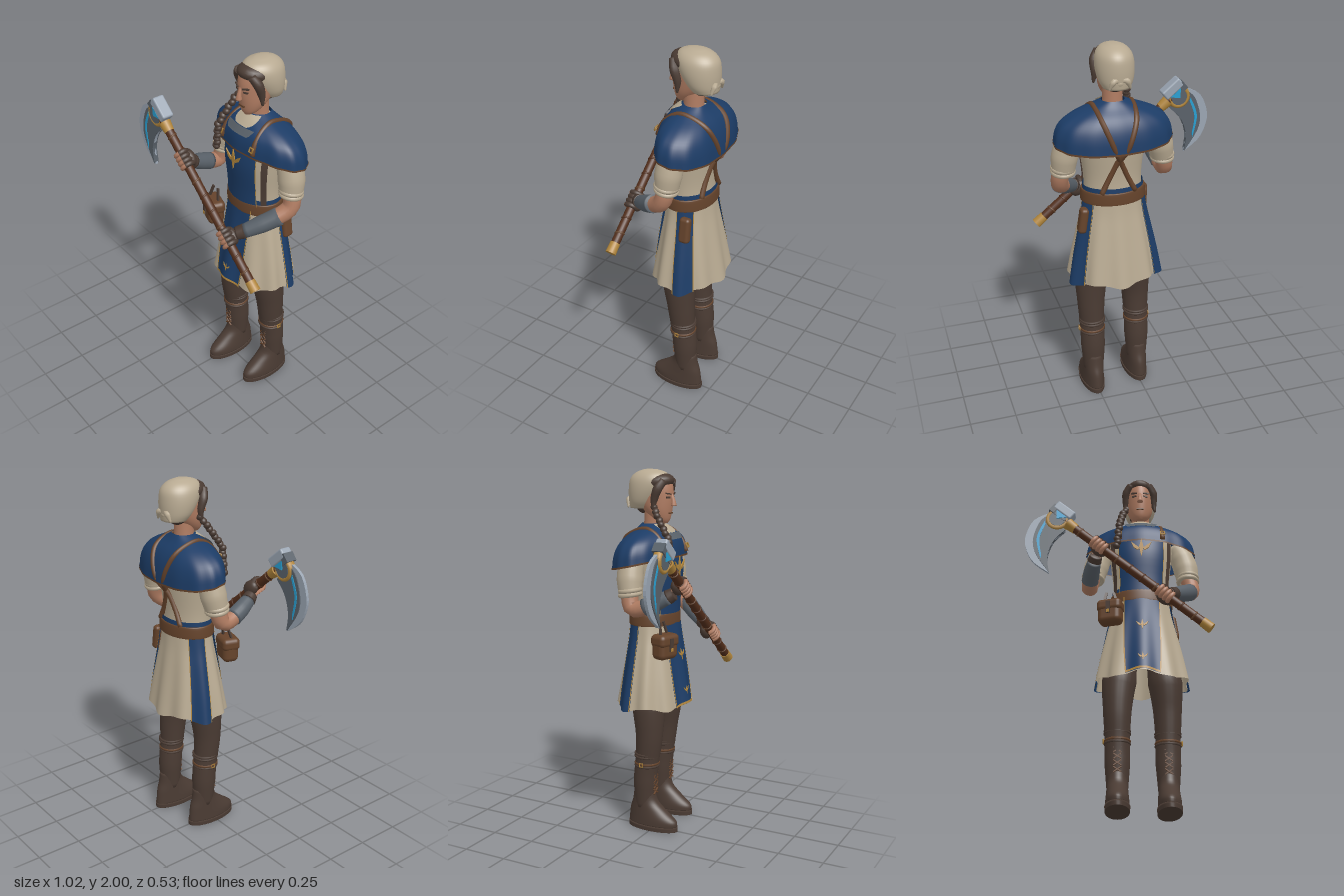
import * as THREE from 'three';
import { RoundedBoxGeometry } from 'three/addons/geometries/RoundedBoxGeometry.js';

const mat = (name, color) => new THREE.MeshStandardMaterial({ name, color, side: THREE.DoubleSide });
const M = {
  cream: mat('creamCloth', 0xb8aa92), blue: mat('blueCloth', 0x1c3c66), leather: mat('leather', 0x65432b),
  dark: mat('darkLeatherAndHair', 0x4a3b33), skin: mat('skin', 0xb07c62), wood: mat('wood', 0x522e1b),
  steel: mat('steel', 0x596169), pale: mat('paleSteel', 0x9aa5b2), gold: mat('gold', 0xb0853c), glow: mat('glowBlue', 0x2a9fd0),
};
const V = (p) => new THREE.Vector3(p[0], p[1], p[2]);
const lerp = THREE.MathUtils.lerp, TAU = Math.PI * 2, CX = 0.128;

// Skin a grid of points, rows running upward or along the limb
function skinRows(rows, closed) {
  const w = rows[0].length, pos = rows.flat().flatMap((p) => [p.x, p.y, p.z]), idx = [];
  for (let i = 0; i < rows.length - 1; i++) {
    for (let j = 0; j < (closed ? w : w - 1); j++) {
      const k = (j + 1) % w, a = i * w + j, b = i * w + k;
      idx.push(a, b, a + w, b, b + w, a + w);
    }
  }
  const g = new THREE.BufferGeometry();
  g.setAttribute('position', new THREE.Float32BufferAttribute(pos, 3));
  g.setIndex(idx);
  g.computeVertexNormals();
  return g;
}

// Horizontal oval sections [y, cx, cz, rx, rz]; angle 0 faces the front
function loft(rings, { n = 48, a = null, off = 0, rule = null, cap = false } = {}) {
  const c = new THREE.CatmullRomCurve3(rings.map((r) => V([r[1], r[0], r[2]])), false, 'catmullrom');
  const s = new THREE.CatmullRomCurve3(rings.map((r) => V([r[3], 0, r[4]])), false, 'catmullrom');
  const m = (rings.length - 1) * 4, rows = [];
  for (let i = 0; i <= m; i++) {
    const t = i / m, o = c.getPoint(t), r = s.getPoint(t), row = [];
    const a0 = a ? lerp(a[0][0], a[1][0], t) : 0, a1 = a ? lerp(a[0][1], a[1][1], t) : TAU;
    for (let j = 0; j < n + (a ? 1 : 0); j++) {
      const q = lerp(a0, a1, j / n), k = rule ? rule(q, t) : {};
      const f = k.scale ?? 1;
      row.push(new THREE.Vector3(o.x + (r.x * f + off) * Math.sin(q), o.y + (k.lift ?? 0), o.z + (r.z * f + off) * Math.cos(q)));
    }
    rows.push(row);
    if (cap && (i === 0 || i === m)) rows[i ? 'push' : 'unshift'](row.map(() => o.clone()));
  }
  return skinRows(rows, !a);
}

// Round limb through points [x, y, z, radius]
function limb(pts, n = 16) {
  const curve = new THREE.CatmullRomCurve3(pts.map(V)), m = (pts.length - 1) * 5;
  const f = curve.computeFrenetFrames(m), rows = [];
  for (let i = 0; i <= m; i++) {
    const u = (i / m) * (pts.length - 1), k = Math.min(Math.floor(u), pts.length - 2);
    const r = lerp(pts[k][3], pts[k + 1][3], u - k), o = curve.getPointAt(i / m);
    const ring = (q) => Array.from({ length: n }, (_, j) => o.clone()
      .addScaledVector(f.normals[i], q * Math.cos(j / n * TAU)).addScaledVector(f.binormals[i], q * Math.sin(j / n * TAU)));
    if (i === 0) rows.push(ring(0));
    rows.push(ring(r));
    if (i === m) rows.push(ring(0));
  }
  return skinRows(rows, true);
}

// Flat plate cut from an outline, and a smooth bow for curved outlines
const vec2 = (pts) => pts.map((p) => new THREE.Vector2(p[0], p[1]));
const bow = (pts) => new THREE.SplineCurve(vec2(pts)).getPoints(16).map((p) => [p.x, p.y]);
const plate = (pts, depth) => new THREE.ExtrudeGeometry(new THREE.Shape(vec2(pts)), { depth, bevelEnabled: false }).translate(0, 0, -depth / 2);

export function createModel() {
  const root = new THREE.Group();
  root.name = 'axeWarrior';
  const add = (name, g, m, p = [0, 0, 0], r = [0, 0, 0], s = [1, 1, 1], parent = root) => {
    const o = new THREE.Mesh(g, m);
    o.name = name;
    o.position.set(...p); o.rotation.set(...r); o.scale.set(...s);
    parent.add(o);
  };
  const box = (x, y, z) => new THREE.BoxGeometry(x, y, z);
  const ball = new THREE.SphereGeometry(1, 24, 16);

  // Legs and boots
  for (const s of [1, -1]) {
    const side = s > 0 ? 'left' : 'right', x = CX + s * 0.134, dz = s > 0 ? 0 : 0.042;
    add(side + 'Leg', limb([[x - s * 0.03, 0.86, -0.055, 0.08], [x - s * 0.008, 0.7, -0.058 + dz * 0.5, 0.093], [x, 0.55, -0.072 + dz, 0.077],
      [x, 0.42, -0.082 + dz, 0.067], [x, 0.3, -0.095 + dz, 0.067], [x, 0.12, -0.1 + dz, 0.055]], 24), M.dark);
    add(side + 'Boot', loft([[0.025, x, -0.048 + dz, 0.062, 0.15], [0.06, x, -0.05 + dz, 0.061, 0.145], [0.11, x, -0.078 + dz, 0.057, 0.11],
      [0.16, x, -0.097 + dz, 0.055, 0.075], [0.22, x, -0.1 + dz, 0.055, 0.062]], { cap: true }), M.dark);
    add(side + 'Sole', loft([[0, x, -0.048 + dz, 0.064, 0.153], [0.028, x, -0.048 + dz, 0.066, 0.153]], { cap: true }), M.dark);
    for (const [y, r, m] of [[0.44, 0.066, M.dark], [0.425, 0.066, M.dark], [0.385, 0.065, M.leather], [0.37, 0.065, M.dark]])
      add(side + 'BootStrap', new THREE.TorusGeometry(r, 0.007, 6, 32), m, [x, y, -0.086 + dz], [Math.PI / 2, 0, 0]);
    add(side + 'BootBuckle', new THREE.TorusGeometry(0.014, 0.004, 4, 4), M.gold, [x + s * 0.073, 0.385, -0.085 + dz], [0, Math.PI / 2, Math.PI / 4]);
    for (let i = 0; i < 4; i++) for (const k of [1, -1])
      add(side + 'Lace', box(0.05, 0.006, 0.008), M.leather, [x, 0.22 + i * 0.035, -0.031 + dz], [0, 0, k * 0.6]);
  }

  // Pleated skirt with its hanging panels
  const skirt = [[0.71, CX, -0.063, 0.248, 0.19], [0.85, CX, -0.063, 0.224, 0.167], [1.0, CX, -0.063, 0.192, 0.142], [1.1, CX, -0.063, 0.17, 0.126], [1.2, CX, -0.064, 0.155, 0.115]];
  const folds = (q, t) => ({ scale: 1 + 0.045 * (1 - t) * Math.cos(10 * q), lift: 0.012 * (1 - t) * Math.cos(5 * q) });
  add('skirt', loft(skirt, { n: 120, rule: folds }), M.cream);
  const panel = (name, rings, b, t, rule, trim) => {
    add(name, loft(rings, { a: [b, t], off: 0.012, rule }), M.blue);
    for (const k of [0, 1]) {
      const e = (v) => (k ? [v[1] - trim, v[1]] : [v[0], v[0] + trim]);
      add(name + 'Trim', loft(rings, { n: 4, a: [e(b), e(t)], off: 0.015, rule }), M.gold);
    }
  };
  panel('frontPanel', skirt, [-0.38, 0.38], [-0.62, 0.62], folds, 0.026);
  add('frontPanelHem', loft([[0.712, CX, -0.063, 0.248, 0.19], [0.725, CX, -0.063, 0.246, 0.188]], { a: [[-0.38, 0.38], [-0.38, 0.38]], off: 0.015, rule: (q) => folds(q, 0) }), M.gold);
  panel('leftHipPanel', skirt, [1.7, 2.25], [1.65, 2.3], folds, 0.025);
  panel('rightHipPanel', skirt, [-2.25, -1.7], [-2.3, -1.65], folds, 0.025);

  // Torso, tabard and side straps
  const torso = [[1.18, CX, -0.064, 0.155, 0.115], [1.3, CX, -0.06, 0.155, 0.115], [1.45, CX, -0.06, 0.172, 0.128], [1.57, CX, -0.07, 0.178, 0.122], [1.66, CX, -0.08, 0.11, 0.085]];
  add('tunic', loft(torso, { cap: true }), M.cream);
  panel('tabard', torso.slice(0, 4), [-0.82, 0.82], [-0.72, 0.72], null, 0.024);
  for (const s of [1, -1])
    add('sideStrap', loft(torso.slice(0, 4), { n: 6, a: [[s * 1.08 - 0.11, s * 1.08 + 0.11], [s * 1.0 - 0.11, s * 1.0 + 0.11]], off: 0.012 }), M.dark);
  add('sash', loft([[1.225, CX, -0.064, 0.164, 0.124], [1.255, CX, -0.064, 0.162, 0.122]]), M.blue);
  add('belt', loft([[1.165, CX, -0.065, 0.171, 0.129], [1.17, CX, -0.065, 0.175, 0.132], [1.225, CX, -0.065, 0.172, 0.13], [1.23, CX, -0.065, 0.163, 0.123]]), M.leather);

  // Gold embroidery, simple leaves around a diamond
  const ornament = (y, z, s, tilt) => {
    const g = new THREE.Group();
    g.name = 'embroidery'; g.position.set(CX, y, z); g.rotation.x = tilt; g.scale.setScalar(s);
    add('diamond', plate([[0, 0.05], [0.012, 0], [0, -0.06], [-0.012, 0]], 0.006), M.gold, undefined, undefined, undefined, g);
    for (const k of [1, -1])
      add('leaf', plate([[k * 0.01, -0.006], [k * 0.055, 0.03], [k * 0.04, -0.004], [k * 0.018, -0.02]], 0.006), M.gold, undefined, undefined, undefined, g);
    root.add(g);
  };
  ornament(1.485, 0.085, 1.05, 0);
  ornament(1.0, 0.1, 0.6, -0.2);
  ornament(0.8, 0.132, 0.5, -0.2);

  // Shoulder mantle, collar and gorget
  const mantle = [[1.5, CX, -0.085, 0.313, 0.16], [1.56, CX, -0.085, 0.303, 0.154], [1.61, CX, -0.085, 0.272, 0.14], [1.65, CX, -0.085, 0.208, 0.115], [1.685, CX, -0.08, 0.115, 0.08], [1.71, CX, -0.08, 0.06, 0.056]];
  const drape = (q, t) => ({ lift: 0.035 * Math.cos(q) * (1 - t), scale: 1 - 0.06 * Math.cos(q) * Math.sin(2 * q) ** 2 + 0.01 * (1 - t) * Math.cos(14 * q) });
  add('mantle', loft(mantle, { n: 96, rule: drape }), M.blue);
  add('mantleTrim', loft([[1.496, CX, -0.085, 0.315, 0.162], [1.506, CX, -0.085, 0.315, 0.162]], { n: 96, rule: (q) => drape(q, 0) }), M.leather);
  add('shirtCollar', loft(mantle.slice(3), { a: [[-0.2, 0.2], [-1.0, 1.0]], off: 0.012, rule: (q, t) => drape(q, 0.6 + 0.4 * t) }), M.cream);
  add('gorget', loft(mantle.slice(2, 4), { a: [[-0.2, 0.2], [-0.45, 0.45]], off: 0.016, rule: (q, t) => drape(q, 0.4 + 0.2 * t) }), M.steel);

  // Harness over the shoulders, crossing on the back
  for (const s of [1, -1]) {
    const at = (list) => limb(list.map(([x, y, z]) => [CX + s * x, y, z, 0.014]), 8);
    add('harnessStrap', at([[0.122, 1.55, 0.062], [0.118, 1.605, 0.042], [0.112, 1.655, 0.0], [0.105, 1.684, -0.06], [0.1, 1.672, -0.13], [0.088, 1.63, -0.2],
      [0.06, 1.555, -0.233], [0.028, 1.475, -0.232], [-0.01, 1.4, -0.189], [-0.05, 1.31, -0.172], [-0.09, 1.23, -0.172]]), M.leather);
    add('harnessBuckle', new THREE.TorusGeometry(0.016, 0.005, 4, 4), M.gold, [CX + s * 0.122, 1.585, 0.07], [-0.4, 0, Math.PI / 4]);
  }

  // Pouches
  add('pouch', new RoundedBoxGeometry(0.13, 0.13, 0.09, 3, 0.03), M.leather, [-0.043, 1.067, 0.085], [0, -0.3, 0]);
  add('pouchFlap', new RoundedBoxGeometry(0.138, 0.07, 0.1, 3, 0.025), M.leather, [-0.043, 1.105, 0.086], [0, -0.3, 0]);
  add('pouchTab', box(0.024, 0.07, 0.008), M.dark, [-0.058, 1.085, 0.134], [0, -0.3, 0]);
  add('pouchClasp', box(0.016, 0.018, 0.008), M.gold, [-0.059, 1.06, 0.137], [0, -0.3, 0]);
  for (const k of [1, -1]) add('pouchLoop', box(0.014, 0.09, 0.01), M.dark, [-0.045 + k * 0.03, 1.16, 0.075], [-0.2, 0, k * 0.25]);
  add('hipPouch', new RoundedBoxGeometry(0.045, 0.14, 0.06, 3, 0.018), M.leather, [0.31, 1.075, -0.128], [0, 0, 0.15]);

  // Arms
  const arms = {
    left: { sleeve: [[0.325, 1.57, -0.085, 0.05], [0.36, 1.51, -0.085, 0.068], [0.385, 1.43, -0.082, 0.07], [0.395, 1.345, -0.075, 0.06]],
      arm: [[0.398, 1.37, -0.078, 0.047], [0.413, 1.28, -0.06, 0.044], [0.365, 1.21, 0.045, 0.04], [0.275, 1.14, 0.18, 0.028]],
      bracer: [[0.397, 1.24, 0.0, 0.048], [0.355, 1.2, 0.065, 0.046], [0.3, 1.155, 0.145, 0.037]] },
    right: { sleeve: [[-0.07, 1.57, -0.085, 0.05], [-0.103, 1.51, -0.085, 0.068], [-0.128, 1.43, -0.08, 0.07], [-0.143, 1.355, -0.07, 0.06]],
      arm: [[-0.146, 1.38, -0.075, 0.047], [-0.162, 1.285, -0.045, 0.044], [-0.155, 1.305, 0.05, 0.04], [-0.122, 1.375, 0.18, 0.028]],
      bracer: [[-0.158, 1.295, 0.025, 0.047], [-0.149, 1.32, 0.08, 0.045], [-0.132, 1.355, 0.15, 0.037]] },
  };
  for (const [side, a] of Object.entries(arms)) {
    add(side + 'Sleeve', limb(a.sleeve, 24), M.cream);
    const e = a.sleeve[3];
    for (const k of [0, 1]) add(side + 'SleeveRoll', new THREE.TorusGeometry(0.053, 0.013, 8, 28), M.cream, [e[0], e[1] + k * 0.022, e[2]], [Math.PI / 2 - 0.15, 0, 0]);
    add(side + 'Arm', limb(a.arm, 20), M.skin);
    add(side + 'Bracer', limb(a.bracer, 20), M.steel);
    const [p, q] = [V(a.bracer[2]), V(a.arm[3])];
    add(side + 'GloveCuff', limb([[p.x, p.y, p.z, 0.04], [q.x, q.y, q.z, 0.034]], 16), M.dark);
  }

  // Neck, head and face
  add('neck', loft([[1.64, CX, -0.075, 0.058, 0.056], [1.71, CX, -0.075, 0.052, 0.052], [1.79, CX, -0.07, 0.052, 0.055]]), M.skin);
  const hx = 0.125;
  add('head', loft([[1.712, hx, -0.01, 0.02, 0.02], [1.735, hx, -0.024, 0.047, 0.047], [1.78, hx, -0.047, 0.068, 0.08], [1.84, hx, -0.07, 0.077, 0.111],
    [1.9, hx, -0.08, 0.08, 0.12], [1.95, hx, -0.085, 0.073, 0.108], [1.98, hx, -0.09, 0.045, 0.07]], { cap: true }), M.skin);
  add('nose', limb([[hx, 1.87, 0.034, 0.008], [hx, 1.835, 0.046, 0.011], [hx, 1.805, 0.049, 0.017]], 12), M.skin);
  add('mouth', box(0.042, 0.008, 0.008), M.leather, [hx, 1.767, 0.031]);
  for (const s of [1, -1]) {
    add('eye', box(0.024, 0.009, 0.008), M.dark, [hx + s * 0.032, 1.851, 0.032], [0, s * 0.4, 0]);
    add('eyebrow', box(0.036, 0.007, 0.009), M.dark, [hx + s * 0.034, 1.871, 0.034], [0, s * 0.4, s * 0.15]);
    add('sideHair', limb([[hx + s * 0.05, 1.94, 0.012, 0.022], [hx + s * 0.077, 1.895, -0.01, 0.025], [hx + s * 0.08, 1.84, -0.028, 0.02], [hx + s * 0.088, 1.785, -0.03, 0.006]], 10), M.dark);
  }
  add('hair', ball, M.dark, [hx, 1.926, -0.06], [-0.2, 0, 0], [0.086, 0.05, 0.106]);
  add('napeHair', ball, M.dark, [hx, 1.805, -0.125], [0, 0, 0], [0.06, 0.045, 0.045]);
  for (let i = 0; i < 15; i++) {
    const t = i / 14;
    add('braid', ball, M.dark, [0.05 - 0.062 * Math.sqrt(t) + 0.006 * (i % 2), 1.8 - 0.31 * t, -0.03 + 0.115 * Math.min(1, t * 1.8)], [0, 0, i % 2 ? 0.6 : -0.6], [0.021, 0.018, 0.019]);
  }

  // Head scarf with its knot
  add('headScarf', loft([[1.79, hx, -0.14, 0.07, 0.068], [1.83, hx, -0.125, 0.09, 0.088], [1.89, hx, -0.107, 0.099, 0.108], [1.945, hx, -0.095, 0.092, 0.112],
    [1.98, hx, -0.088, 0.066, 0.086], [1.998, hx, -0.09, 0.025, 0.035]], { cap: true }), M.cream);
  add('scarfKnot', ball, M.cream, [hx, 1.825, -0.198], [0, 0, 0], [0.026, 0.02, 0.016]);
  for (const s of [1, -1])
    add('scarfTail', limb([[hx, 1.83, -0.195, 0.01], [hx + s * 0.03, 1.84, -0.207, 0.016], [hx + s * 0.055, 1.795, -0.2, 0.005]], 8), M.cream);

  // Axe, built upright from its pommel, then tilted across the body
  const axe = new THREE.Group();
  axe.name = 'axe'; axe.position.set(0.475, 0.925, 0.22); axe.rotation.z = 0.877;
  root.add(axe);
  const part = (name, g, m, p, r, s) => add(name, g, m, p, r, s, axe);
  const rod = (r0, r1, h) => new THREE.CylinderGeometry(r0, r1, h, 20);
  part('shaft', rod(0.024, 0.024, 1.0), M.wood, [0, 0.52, 0]);
  part('pommel', rod(0.027, 0.029, 0.06), M.gold, [0, 0.015, 0]);
  part('headCollar', rod(0.033, 0.027, 0.055), M.gold, [0, 0.95, 0]);
  for (let i = 0; i < 10; i++) part('gripWrap', new THREE.TorusGeometry(0.022, 0.006, 6, 20), i % 3 ? M.wood : M.leather, [0, 0.1 + i * 0.088, 0], [Math.PI / 2 + 0.25, 0, 0]);
  part('headRing', new THREE.TorusGeometry(0.052, 0.016, 8, 32), M.gold, [-0.022, 1.036, 0], [0, 0, 0], [1, 1, 1.6]);
  part('headCore', new THREE.CylinderGeometry(0.045, 0.045, 0.046, 24), M.steel, [-0.022, 1.036, 0], [Math.PI / 2, 0, 0]);
  part('hammerFace', new RoundedBoxGeometry(0.055, 0.125, 0.066, 2, 0.01), M.pale, [0.042, 1.04, 0]);
  part('hammerNeck', box(0.03, 0.085, 0.054), M.steel, [0.004, 1.04, 0]);
  part('bladeRoot', box(0.05, 0.035, 0.064), M.steel, [0.014, 1.09, 0]);
  part('headInlay', plate([[0.015, 1.0], [0.015, 1.075], [-0.025, 1.038]], 0.06), M.glow);

  // Fists wrapped around the shaft
  for (const [y, name] of [[0.755, 'right'], [0.294, 'left']]) {
    part(name + 'Palm', ball, M.dark, [0, y, -0.03], [0, 0, 0], [0.04, 0.052, 0.03]);
    for (let i = 0; i < 4; i++) {
      const p = [0, y - 0.036 + i * 0.024, 0];
      part(name + 'Knuckle', new THREE.TorusGeometry(0.032, 0.0135, 8, 14, 3.0), M.dark, p, [Math.PI / 2, 0, -2.2]);
      part(name + 'Finger', new THREE.TorusGeometry(0.032, 0.012, 8, 14, 2.0), M.skin, p, [Math.PI / 2, 0, 0.8]);
    }
  }

  // Crescent blade with dark cheeks and glowing inlay
  const inner = [[-0.373, 1.241], [-0.384, 1.342], [-0.352, 1.438], [-0.29, 1.505]];
  const edge = [[-0.395, 1.61], [-0.468, 1.565], [-0.508, 1.464], [-0.5, 1.385], [-0.458, 1.305], [-0.373, 1.241]];
  const cheek = [[-0.385, 1.6], [-0.432, 1.555], [-0.465, 1.45], [-0.45, 1.36], [-0.376, 1.245]];
  add('bladeEdge', plate([...bow(edge), ...bow(inner).slice(1)], 0.016), M.pale, [0, 0, 0.22]);
  add('bladeCheek', plate([...bow(cheek), ...bow(inner).slice(1)], 0.028), M.steel, [0, 0, 0.22]);
  add('bladeInlay', plate([...bow([[-0.405, 1.56], [-0.445, 1.45], [-0.42, 1.32]]), ...bow([[-0.418, 1.35], [-0.43, 1.45], [-0.4, 1.54]])], 0.034), M.glow, [0, 0, 0.22]);
  return root;
}
